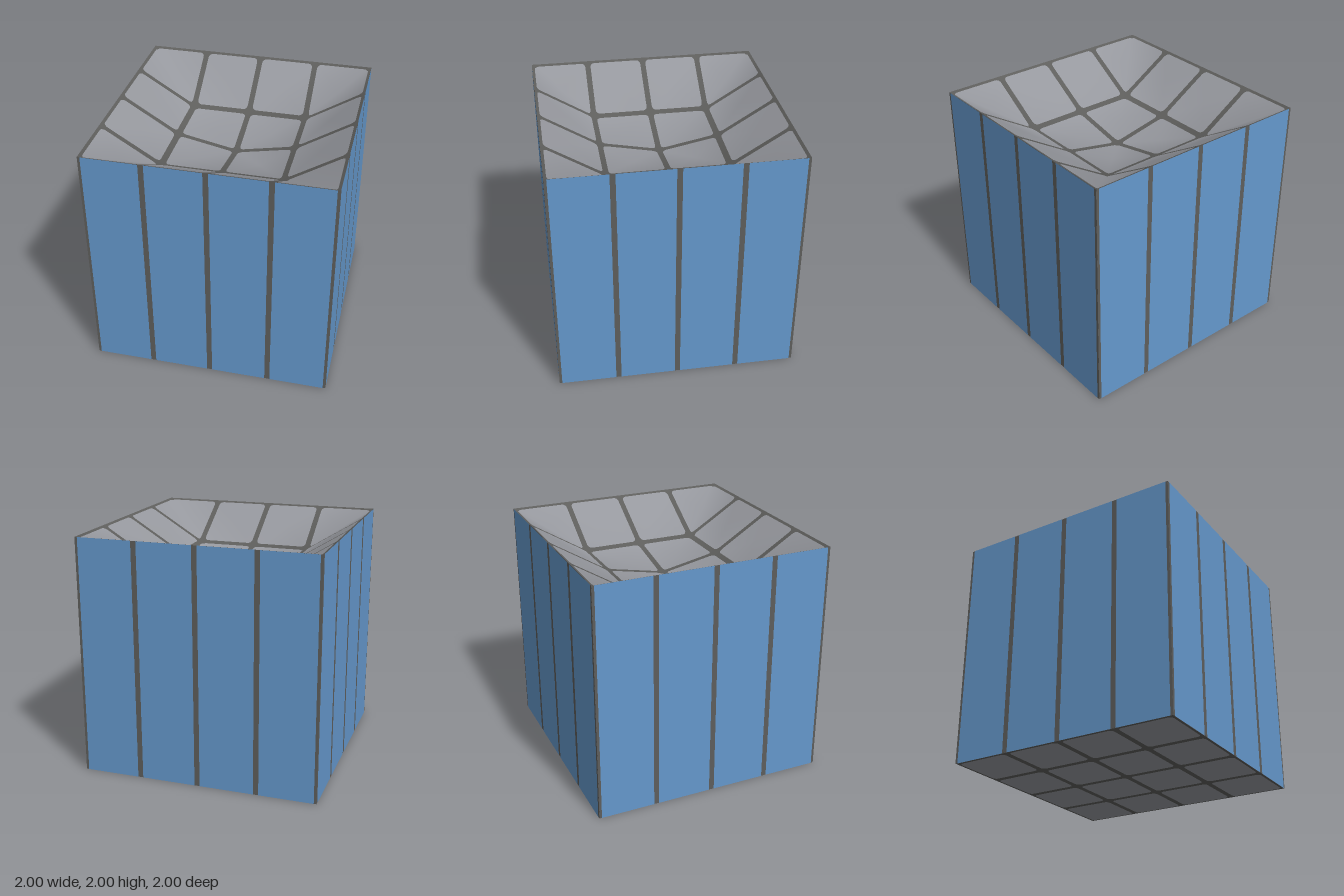
import * as THREE from 'three';
import { mergeGeometries } from 'three/addons/utils/BufferGeometryUtils.js';

const CENTRES = [-0.75, -0.25, 0.25, 0.75];

// Height of the sunken top: straight slopes to an inner square, then a shallow middle
function topHeight(x, z) {
  const m = Math.max(Math.abs(x), Math.abs(z));
  return m > 0.5 ? 2 - 0.62 * (1 - m) : 1.69 - 0.2 * (0.5 - m);
}

// Softened normal of the sunken top
function topNormal(x, z) {
  const s = 0.25;
  const dx = (topHeight(x + s, z) - topHeight(x - s, z)) / (2 * s);
  const dz = (topHeight(x, z + s) - topHeight(x, z - s)) / (2 * s);
  return new THREE.Vector3(-dx, 1, -dz).normalize();
}

// Outline of a square cell with rounded corners, counterclockwise from above
function outline(half, radius) {
  const pts = [];
  const steps = radius > 0 ? 4 : 0;
  for (let c = 0; c < 4; c++) {
    const mid = Math.PI / 4 + c * Math.PI / 2;
    const cx = Math.sign(Math.cos(mid)) * (half - radius);
    const cz = -Math.sign(Math.sin(mid)) * (half - radius);
    for (let i = 0; i <= steps; i++) {
      const a = c * Math.PI / 2 + (steps ? i / steps : 0) * Math.PI / 2;
      pts.push(steps ? [cx + radius * Math.cos(a), cz - radius * Math.sin(a)] : [cx, cz]);
    }
  }
  return pts;
}

// Fan-shaped patch over one cell, following a height rule
function patch(cx, cz, pts, height, normal, flip) {
  const pos = [], nor = [], idx = [];
  for (const [x, z] of [[0, 0], ...pts]) {
    pos.push(cx + x, height(cx + x, cz + z), cz + z);
    nor.push(...normal(cx + x, cz + z).toArray());
  }
  for (let i = 0; i < pts.length; i++) {
    const a = i + 1, b = (i + 1) % pts.length + 1;
    if (flip) idx.push(0, b, a);
    else idx.push(0, a, b);
  }
  const g = new THREE.BufferGeometry();
  g.setAttribute('position', new THREE.Float32BufferAttribute(pos, 3));
  g.setAttribute('normal', new THREE.Float32BufferAttribute(nor, 3));
  g.setIndex(idx);
  return g;
}

// The 4 x 4 cells of one horizontal face
function cells(pts, height, normal, flip = false) {
  const list = [];
  for (const x of CENTRES) for (const z of CENTRES) list.push(patch(x, z, pts, height, normal, flip));
  return mergeGeometries(list);
}

export function createModel() {
  const model = new THREE.Group();
  model.name = 'tiledBlock';
  const material = (name, color) => {
    const m = new THREE.MeshStandardMaterial({ color });
    m.name = name;
    return m;
  };
  const blue = material('panelBlue', 0x6598cc);
  const grey = material('tileGrey', 0x96989e);
  const dark = material('frameGrey', 0x5e5e5c);

  const add = (name, geometry, mat, parent = model) => {
    const mesh = new THREE.Mesh(geometry, mat);
    mesh.name = name;
    parent.add(mesh);
    return mesh;
  };

  const full = outline(0.25, 0);
  const tile = outline(0.2265, 0.035);
  const down = () => new THREE.Vector3(0, -1, 0);

  // Sunken top with its tiles
  add('topFrame', cells(full, topHeight, topNormal), dark);
  add('topTiles', cells(tile, (x, z) => topHeight(x, z) + 0.003, topNormal), grey);

  // Flat underside with its tiles
  add('bottomFrame', cells(full, () => 0.003, down, true), dark);
  add('bottomTiles', cells(tile, () => 0, down, true), grey);

  // Four walls, each with four upright panels
  ['front', 'left', 'back', 'right'].forEach((side, i) => {
    const wall = new THREE.Group();
    wall.name = side + 'Wall';
    wall.rotation.y = i * Math.PI / 2;
    add(side + 'Frame', new THREE.PlaneGeometry(2, 2), dark, wall).position.set(0, 1, 0.999);
    for (const x of CENTRES) {
      add(side + 'Panel', new THREE.PlaneGeometry(0.456, 2), blue, wall).position.set(x, 1, 1.001);
    }
    model.add(wall);
  });

  return model;
}
